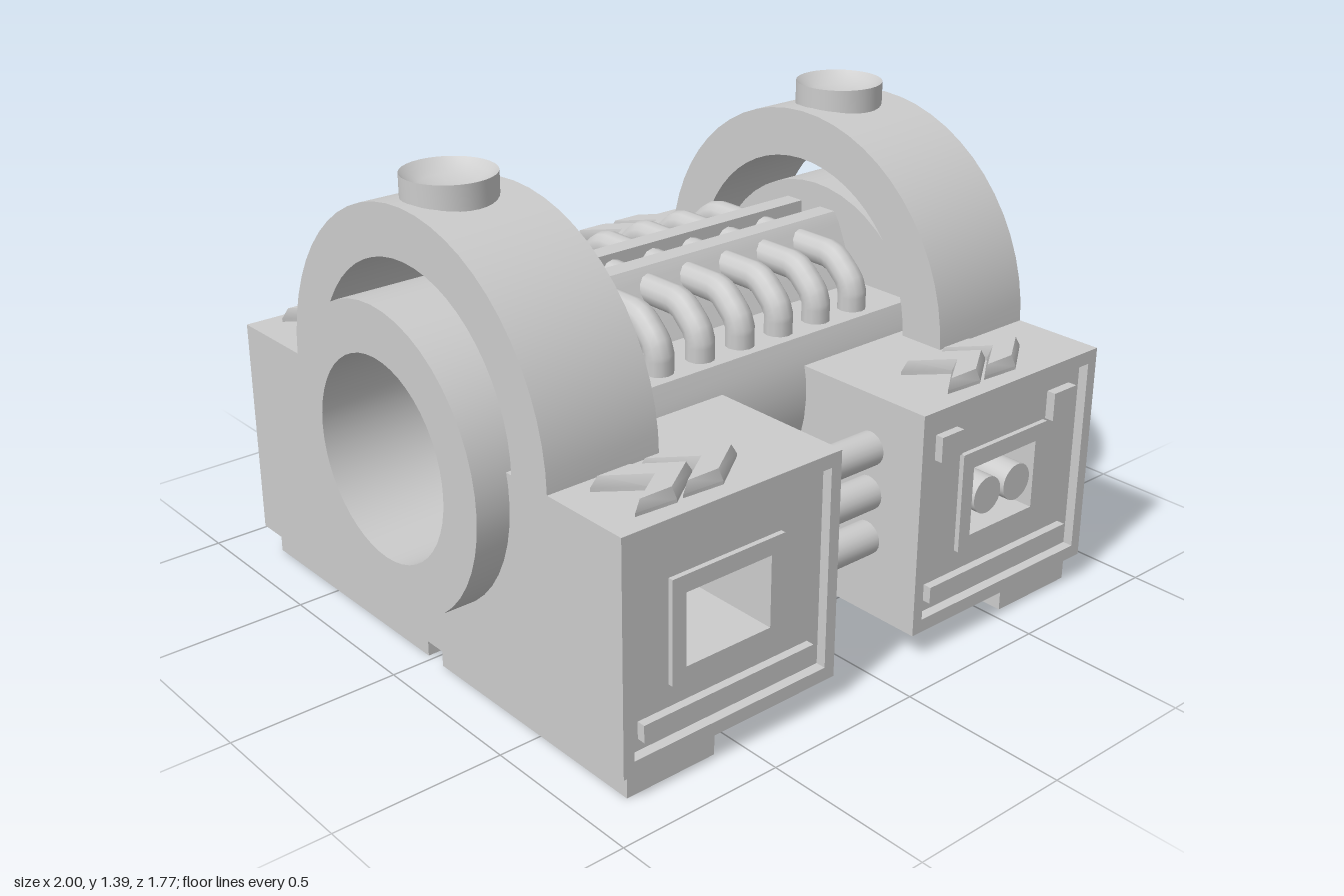
import * as THREE from 'three';
import { toCreasedNormals } from 'three/addons/utils/BufferGeometryUtils.js';

const material = new THREE.MeshStandardMaterial({ color: 0xcccccc });
const CY = 0.66, CZ = 0.005, R = 0.435; // drum axis and radius

export function createModel() {
  const model = new THREE.Group();

  const add = (name, geometry, parent = model) => {
    const mesh = new THREE.Mesh(toCreasedNormals(geometry, 0.65), material);
    mesh.name = name;
    parent.add(mesh);
    return mesh;
  };
  const box = (name, x0, x1, y0, y1, z0, z1, parent) => {
    const g = new THREE.BoxGeometry(x1 - x0, y1 - y0, z1 - z0);
    return add(name, g.translate((x0 + x1) / 2, (y0 + y1) / 2, (z0 + z1) / 2), parent);
  };
  const poly = (pts) => new THREE.Shape(pts.map(([x, y]) => new THREE.Vector2(x, y)));
  const rect = (x0, x1, y0, y1) => poly([[x0, y0], [x1, y0], [x1, y1], [x0, y1]]);
  const extrude = (shape, depth) =>
    new THREE.ExtrudeGeometry(shape, { depth, bevelEnabled: false, curveSegments: 14 });
  // profile drawn in (-z, y), swept along x
  const sweepX = (shape, x0, x1) => extrude(shape, x1 - x0).rotateY(Math.PI / 2).translate(x0, 0, 0);
  // rectangular plate with a rectangular opening, facing z
  const plate = (name, outer, hole, z0, z1, parent) => {
    const s = rect(...outer);
    s.holes.push(rect(...hole));
    return add(name, extrude(s, z1 - z0).translate(0, 0, z0), parent);
  };
  const lathe = (pts, n) => new THREE.LatheGeometry(pts.map(([r, h]) => new THREE.Vector2(r, h)), n);

  // end drums: dished on the left, bored on the right
  const drum = (name, pts) => add(name, lathe(pts, 48).rotateZ(-Math.PI / 2).translate(0, CY, CZ));
  drum('dishedDrum', [[0, 0.58], [R, 0.58], [R, 1], [0.41, 0.975], [0.36, 0.95], [0.29, 0.932], [0.21, 0.925], [0, 0.925]]);
  drum('boredDrum', [[0, -0.66], [0.29, -0.66], [0.29, -1], [R, -1], [R, -0.62], [0, -0.62]]);

  // middle body: round below, cut flat on top
  const cut = Math.asin((0.83 - CY) / R);
  const bodyShape = new THREE.Shape();
  bodyShape.absarc(-CZ, CY, R - 0.003, Math.PI - cut, 2 * Math.PI + cut, false);
  add('middleBody', sweepX(bodyShape, -0.63, 0.59));

  // grooved ridge on the body
  add('topRidge', sweepX(poly([[-0.2, 0.82], [0.2, 0.82], [0.12, 1.0], [0.1, 1.03], [0.04, 1.03],
    [0.04, 0.93], [-0.04, 0.93], [-0.04, 1.03], [-0.1, 1.03], [-0.12, 1.0]]), -0.6, 0.57));

  // bent ribs over the ridge
  const ribPath = new THREE.CurvePath();
  const ribPts = [[0.335, 0.81], [0.335, 0.885], [0.32, 0.915], [0.27, 0.96], [0.24, 0.97],
    [-0.24, 0.97], [-0.27, 0.96], [-0.32, 0.915], [-0.335, 0.885], [-0.335, 0.81]]
    .map(([z, y]) => new THREE.Vector3(0, y, z));
  for (let i = 0; i < ribPts.length - 1; i++) ribPath.add(new THREE.LineCurve3(ribPts[i], ribPts[i + 1]));
  for (let i = 0; i < 7; i++) {
    add('rib', new THREE.TubeGeometry(ribPath, 60, 0.042, 12).translate(-0.47 + i * 0.147, 0, 0));
  }

  // front and back connecting rods, and the low cross bar
  for (const z of [0.69, -0.775]) for (const y of [0.59, 0.455, 0.315]) {
    add('connectingRod', new THREE.CylinderGeometry(0.05, 0.05, 0.37, 20).rotateZ(Math.PI / 2).translate(-0.025, y, z));
  }
  box('crossBar', -0.2, 0.15, 0.13, 0.21, -0.42, 0.575);

  // chevron with sloped sides, pointing to +x
  const chevron = (x, z, parent) => {
    const s = poly([[0.02, -0.08], [0.12, -0.08], [0.235, 0], [0.12, 0.08], [0.02, 0.08], [0.135, 0]]);
    const g = new THREE.ExtrudeGeometry(s, { depth: 0.01, bevelThickness: 0.03, bevelSize: 0.014, bevelSegments: 1 });
    add('chevron', g.rotateX(-Math.PI / 2).translate(x, 0.75, z), parent);
  };

  const makeSide = (c) => {
    const side = new THREE.Group();
    side.name = c.name;
    model.add(side);
    const [x0, x1] = c.x;

    // main block with a cradle for the drum
    const block = new THREE.Shape();
    const a = Math.asin((0.75 - CY) / (R - 0.004));
    block.moveTo(-0.46, 0.08);
    block.lineTo(0.84, 0.08);
    block.lineTo(0.84, 0.75);
    block.absarc(-CZ, CY, R - 0.004, a, -Math.PI - a, true);
    block.lineTo(-0.46, 0.75);
    add('block', sweepX(block, x0, x1), side);

    // front: hollow panel, rim, raised frame, lower bar
    const [wx0, wx1] = c.window, inner = [wx0 + 0.045, wx1 - 0.045, 0.31, 0.52];
    const hole = [wx0 + 0.01, wx1 - 0.01, 0.28, 0.56];
    plate('frontPanel', [x0, x1, 0.08, 0.75], hole, 0.46, 0.85, side);
    plate('frontRim', [x0, x1, 0.08, 0.75], [x0 + 0.035, x1 - 0.035, 0.12, 0.71], 0.85, 0.88, side);
    plate('windowFrame', [wx0, wx1, 0.27, 0.57], inner, c.windowBack, 0.865, side);
    box('windowBack', hole[0], hole[1], 0.28, 0.56, 0.45, c.windowBack + 0.005, side);
    box('lowerBar', x0 + 0.07, x1 - 0.075, 0.155, 0.205, 0.84, 0.875, side);

    // back: recessed double window and bolts
    const [bx0, bx1] = c.backWindow, mid = (bx0 + bx1) / 2;
    plate('backPanel', [x0, x1, 0.08, 0.75], [bx0, bx1, 0.27, 0.58], -0.87, -0.84, side);
    for (const px of [mid - 0.08, mid + 0.08]) {
      plate('backPaneFrame', [px - 0.07, px + 0.07, 0.29, 0.56], [px - 0.052, px + 0.052, 0.31, 0.54], -0.862, -0.835, side);
    }
    for (const bx of c.bolts) {
      add('bolt', new THREE.CylinderGeometry(0.05, 0.05, 0.04, 5).rotateX(-Math.PI / 2).translate(bx, 0.175, -0.87), side);
    }

    // arch over the drum
    const arch = new THREE.Shape();
    arch.absarc(-0.01, 0.745, 0.587, 0, Math.PI, false);
    arch.absarc(-0.01, 0.745, 0.442, Math.PI, 0, true);
    add('arch', sweepX(arch, ...c.arch), side);

    // dished cap on the arch
    const cap = lathe([[0, 1.25], [0.13, 1.25], [0.13, 1.393], [0.11, 1.375], [0.08, 1.36], [0.04, 1.353], [0, 1.35]], 32);
    add('cap', cap.translate(c.capX, 0, -0.01), side);

    // feet
    box('frontFoot', c.foot[0], c.foot[1], 0, 0.09, 0.05, 0.855, side);
    box('backFoot', c.foot[0], c.foot[1], 0, 0.09, -0.83, -0.02, side);

    for (const z of [0.735, -0.735]) for (const dx of [0, 0.15]) chevron(c.chevronX + dx, z, side);
    return side;
  };

  makeSide({
    name: 'rightSide', x: [-0.9, -0.175], window: [-0.73, -0.355], windowBack: 0.47,
    backWindow: [-0.72, -0.38], bolts: [-0.82, -0.23], arch: [-0.9, -0.545],
    capX: -0.735, foot: [-0.87, -0.58], chevronX: -0.81,
  });
  const left = makeSide({
    name: 'leftSide', x: [0.135, 0.865], window: [0.325, 0.68], windowBack: 0.74,
    backWindow: [0.34, 0.68], bolts: [0.235, 0.76], arch: [0.51, 0.865],
    capX: 0.685, foot: [0.54, 0.83], chevronX: 0.29,
  });

  // left front details: twin knobs and two corner studs
  for (const x of [0.442, 0.568]) {
    add('knob', new THREE.CylinderGeometry(0.056, 0.056, 0.12, 24).rotateX(Math.PI / 2).translate(x, 0.41, 0.8), left);
  }
  box('cornerStud', 0.22, 0.305, 0.585, 0.66, 0.84, 0.875, left);
  box('cornerStud', 0.69, 0.785, 0.57, 0.655, 0.84, 0.878, left);

  return model;
}
